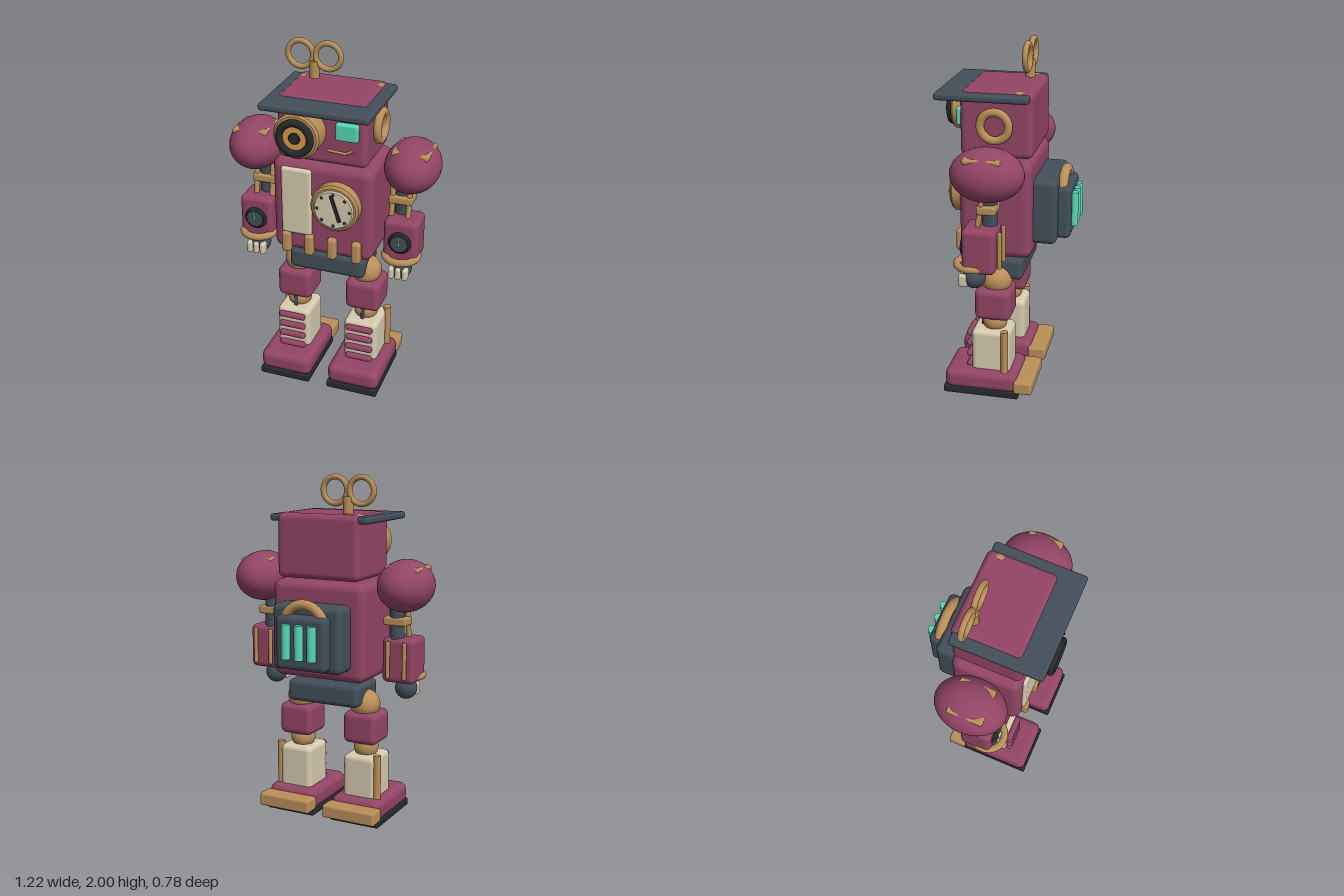
import * as THREE from 'three';
import { RoundedBoxGeometry } from 'three/addons/geometries/RoundedBoxGeometry.js';

const paint = (color) => new THREE.MeshStandardMaterial({ color });
const MAUVE = paint(0x934565), GOLD = paint(0xb98f58), DARK = paint(0x434f59), CREAM = paint(0xd6cbb0);
const TEAL = paint(0x58d8b8), BLACK = paint(0x26292c), AMBER = paint(0xd99b45);

function add(parent, name, geometry, material, x, y, z) {
  const mesh = new THREE.Mesh(geometry, material);
  mesh.name = name;
  mesh.position.set(x, y, z);
  parent.add(mesh);
  return mesh;
}

// Rounded box given by its extents on each axis
function box(parent, name, material, [x0, x1], [y0, y1], [z0, z1], r = 0.02) {
  const w = x1 - x0, h = y1 - y0, d = z1 - z0;
  const geo = new RoundedBoxGeometry(w, h, d, 4, Math.min(r, w * 0.49, h * 0.49, d * 0.49));
  return add(parent, name, geo, material, (x0 + x1) / 2, (y0 + y1) / 2, (z0 + z1) / 2);
}

// Upright cylinder between two heights
function post(parent, name, material, x, z, r, y0, y1) {
  return add(parent, name, new THREE.CylinderGeometry(r, r, y1 - y0, 24), material, x, (y0 + y1) / 2, z);
}

// Disc facing +z, with softened front edge
function disc(parent, name, material, x, y, r, z0, z1) {
  const d = z1 - z0, b = Math.min(0.012, d * 0.4);
  const pts = [[0, 0], [r, 0], [r, 0], [r, d - b], [r, d - b], [r - b, d], [r - b, d], [0, d]];
  const geo = new THREE.LatheGeometry(pts.map(([a, c]) => new THREE.Vector2(a, c)), 48).rotateX(Math.PI / 2);
  return add(parent, name, geo, material, x, y, z0);
}

function ball(parent, name, material, x, y, z, rx, ry = rx, rz = rx) {
  const mesh = add(parent, name, new THREE.SphereGeometry(1, 40, 28), material, x, y, z);
  mesh.scale.set(rx, ry, rz);
  return mesh;
}

const ring = (parent, name, material, x, y, z, R, r, arc = Math.PI * 2) =>
  add(parent, name, new THREE.TorusGeometry(R, r, 14, 48, arc), material, x, y, z);

const capsule = (parent, name, material, x, y, z, r, length) =>
  add(parent, name, new THREE.CapsuleGeometry(r, length - 2 * r, 6, 16), material, x, y, z);

function group(parent, name) {
  const g = new THREE.Group();
  g.name = name;
  parent.add(g);
  return g;
}

function buildHead(root) {
  const head = group(root, 'head');
  box(head, 'skull', MAUVE, [-0.255, 0.255], [1.42, 1.784], [-0.16, 0.24], 0.035);
  box(head, 'roofPlate', DARK, [-0.305, 0.305], [1.735, 1.775], [-0.145, 0.37], 0.015);
  for (const s of [-1, 1]) ball(head, 'roofBolt', GOLD, s * 0.222, 1.765, -0.085, 0.024, 0.024, 0.034);
  post(head, 'neck', GOLD, 0, 0.04, 0.085, 1.38, 1.45);
  // Big round eye
  disc(head, 'eyeBarrel', GOLD, -0.1, 1.607, 0.128, 0.22, 0.355);
  ring(head, 'eyeRing', BLACK, -0.1, 1.607, 0.368, 0.086, 0.02);
  disc(head, 'eyeLens', AMBER, -0.1, 1.607, 0.085, 0.35, 0.368);
  disc(head, 'pupil', BLACK, -0.1, 1.607, 0.032, 0.365, 0.378);
  // Small square eye, mouth and ear
  box(head, 'squareEye', TEAL, [0.088, 0.212], [1.58, 1.677], [0.22, 0.27], 0.012);
  const lips = new THREE.CurvePath();
  const m = [[0.035, 1.508], [0.14, 1.5], [0.185, 1.525]].map(([x, y]) => new THREE.Vector3(x, y, 0.243));
  lips.add(new THREE.LineCurve3(m[0], m[1]));
  lips.add(new THREE.LineCurve3(m[1], m[2]));
  add(head, 'mouth', new THREE.TubeGeometry(lips, 24, 0.008, 8), GOLD, 0, 0, 0);
  ring(head, 'ear', GOLD, 0.274, 1.603, 0.043, 0.078, 0.023).rotation.y = Math.PI / 2;
  // Wind-up key
  const key = group(head, 'windUpKey');
  post(key, 'keyStem', GOLD, -0.15, -0.067, 0.028, 1.76, 1.88);
  for (const s of [-1, 1]) ring(key, 'keyLoop', GOLD, -0.15 + s * 0.08, 1.911, -0.067, 0.073, 0.016);
}

function buildTorso(root) {
  const torso = group(root, 'torso');
  box(torso, 'chest', MAUVE, [-0.29, 0.29], [0.85, 1.41], [-0.16, 0.245], 0.05);
  box(torso, 'chestPanel', CREAM, [-0.232, -0.055], [0.97, 1.375], [0.22, 0.265], 0.018);
  for (const x of [-0.205, -0.07, 0.065, 0.207])
    box(torso, 'chestClip', GOLD, [x - 0.026, x + 0.026], [0.85, 0.98], [0.225, 0.28], 0.018);
  box(torso, 'pelvis', DARK, [-0.225, 0.225], [0.69, 0.82], [-0.1, 0.18], 0.03);
  // Dial
  const dial = group(torso, 'dial');
  const dx = 0.095, dy = 1.192;
  disc(dial, 'dialRim', GOLD, dx, dy, 0.137, 0.22, 0.31);
  disc(dial, 'dialFace', CREAM, dx, dy, 0.115, 0.3, 0.319);
  for (let i = 0; i < 8; i++) {
    const a = (i * Math.PI) / 4;
    ball(dial, 'dialMark', BLACK, dx + 0.093 * Math.sin(a), dy + 0.093 * Math.cos(a), 0.32, 0.008);
  }
  const hand = box(dial, 'dialHand', BLACK, [-0.01, 0.01], [-0.08, 0.08], [0.315, 0.328], 0.004);
  hand.position.set(dx + 0.012, dy + 0.012, 0.322);
  hand.rotation.z = 0.32;
}

function buildBackpack(root) {
  const pack = group(root, 'backpack');
  box(pack, 'packBase', DARK, [-0.215, 0.215], [0.92, 1.295], [-0.288, -0.13], 0.035);
  box(pack, 'packCover', DARK, [-0.155, 0.155], [0.94, 1.245], [-0.357, -0.26], 0.03);
  ring(pack, 'packHandle', GOLD, 0, 1.18, -0.305, 0.124, 0.028, Math.PI);
  for (const x of [-0.08, 0, 0.08]) post(pack, 'lightTube', TEAL, x, -0.365, 0.025, 1.005, 1.2);
}

function buildArm(root, s) {
  const arm = group(root, s > 0 ? 'leftArm' : 'rightArm');
  const x = s * 0.43;
  ball(arm, 'shoulder', MAUVE, s * 0.456, 1.395, 0.04, 0.154, 0.146, 0.2);
  box(arm, 'shoulderPlate', GOLD, [s * 0.462 - 0.102, s * 0.462 + 0.102], [1.478, 1.508], [-0.052, 0.15], 0.012)
    .rotation.z = -s * 0.04;
  // Upper arm with clamp and side rods
  post(arm, 'upperArm', DARK, s * 0.405, 0.04, 0.042, 1.08, 1.3);
  box(arm, 'armClamp', GOLD, [s * 0.405 - 0.068, s * 0.405 + 0.068], [1.17, 1.218], [-0.005, 0.1], 0.012);
  for (const o of [-0.048, 0.048])
    post(arm, 'armRod', GOLD, s * 0.405 + o, 0.082, 0.015, 1.08, 1.29).rotation.x = -0.15;
  // Forearm
  box(arm, 'forearm', MAUVE, [x - 0.098, x + 0.098], [0.845, 1.102], [-0.012, 0.172], 0.03);
  for (const o of [-0.05, 0.05]) capsule(arm, 'forearmRod', GOLD, x + o, 0.98, -0.03, 0.012, 0.215);
  disc(arm, 'gaugeRim', BLACK, x, 0.975, 0.066, 0.15, 0.186);
  disc(arm, 'gaugeFace', DARK, x, 0.975, 0.052, 0.18, 0.189);
  box(arm, 'gaugeNeedle', TEAL, [x - 0.004, x + 0.004], [0.97, 1.018], [0.186, 0.194], 0.002);
  ring(arm, 'wristRing', GOLD, x, 0.873, 0.125, 0.092, 0.021).rotation.x = Math.PI / 2;
  // Fist and fingers
  ball(arm, 'fist', DARK, x, 0.795, 0.122, 0.063, 0.065, 0.064);
  for (const o of [-0.04, 0, 0.04])
    box(arm, 'finger', CREAM, [x + o - 0.016, x + o + 0.016], [0.748, 0.82], [0.15, 0.203], 0.014);
}

function buildLeg(root, s) {
  const leg = group(root, s > 0 ? 'leftLeg' : 'rightLeg');
  const x = s * 0.21;
  const span = (h) => [x - h, x + h];
  ball(leg, 'hip', GOLD, s * 0.207, 0.69, 0.05, 0.086, 0.086, 0.09);
  box(leg, 'thigh', MAUVE, span(0.104), [0.465, 0.652], [-0.048, 0.16], 0.035);
  ball(leg, 'knee', GOLD, x, 0.432, 0.06, 0.072);
  box(leg, 'kneePin', DARK, span(0.01), [0.385, 0.475], [0.08, 0.138], 0.006);
  box(leg, 'shin', CREAM, span(0.102), [0.12, 0.395], [-0.045, 0.18], 0.03);
  for (let i = 0; i < 4; i++)
    capsule(leg, 'shinRib', MAUVE, x, 0.36 - i * 0.067, 0.196, 0.019, 0.165).rotation.z = Math.PI / 2;
  post(leg, 'shinRod', GOLD, s * 0.318, -0.018, 0.022, 0.12, 0.41);
  // Foot
  box(leg, 'foot', MAUVE, span(0.156), [0.03, 0.152], [-0.095, 0.33], 0.042);
  box(leg, 'sole', BLACK, span(0.154), [0, 0.045], [-0.105, 0.338], 0.01);
  box(leg, 'heel', GOLD, span(0.165), [0.042, 0.12], [-0.187, -0.08], 0.014);
}

export function createModel() {
  const root = new THREE.Group();
  root.name = 'robot';
  buildHead(root);
  buildTorso(root);
  buildBackpack(root);
  for (const s of [-1, 1]) {
    buildArm(root, s);
    buildLeg(root, s);
  }
  return root;
}
